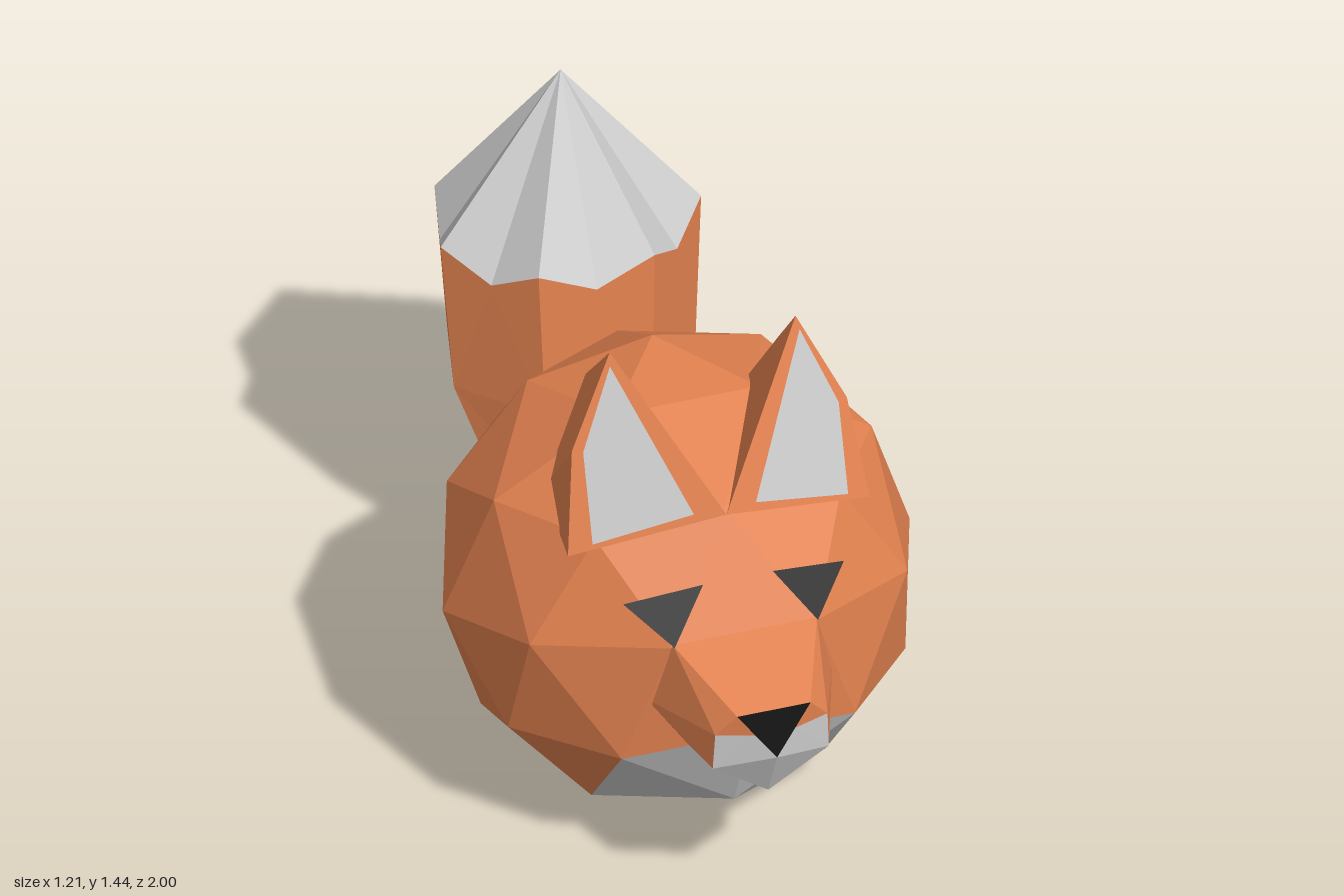
import * as THREE from 'three';
import { ConvexGeometry } from 'three/addons/geometries/ConvexGeometry.js';

const ORANGE = 0xe38250, GREY = 0xcccccc, BLACK = 0x111111;
const V = (x, y, z) => new THREE.Vector3(x, y, z);
const mirror = (p) => V(-p.x, p.y, p.z);

function makeMesh(name, color, geometry) {
  const material = new THREE.MeshStandardMaterial({ color, flatShading: true, side: THREE.DoubleSide });
  const mesh = new THREE.Mesh(geometry, material);
  mesh.name = name;
  return mesh;
}

// Faceted mesh from polygons, every facet turned away from the given centre
function facets(name, color, polygons, centre) {
  const points = [];
  for (const poly of polygons) {
    for (let i = 1; i < poly.length - 1; i++) {
      const [a, b, c] = [poly[0], poly[i], poly[i + 1]];
      const n = b.clone().sub(a).cross(c.clone().sub(a));
      const out = a.clone().add(b).add(c).divideScalar(3).sub(centre);
      points.push(...(n.dot(out) < 0 ? [a, c, b] : [a, b, c]));
    }
  }
  const geometry = new THREE.BufferGeometry().setFromPoints(points);
  geometry.computeVertexNormals();
  return makeMesh(name, color, geometry);
}

// Round body: tilted icosphere, its underside facets pale
function makeBody() {
  const group = new THREE.Group();
  group.name = 'body';
  const centre = V(0, 0.575, 0.2);
  const pos = new THREE.IcosahedronGeometry(0.603, 1).rotateX(40 * Math.PI / 180).attributes.position;
  const coat = [], belly = [];
  for (let i = 0; i < pos.count; i += 3) {
    const tri = [0, 1, 2].map((k) => V(0, 0, 0).fromBufferAttribute(pos, i + k));
    const mid = tri[0].clone().add(tri[1]).add(tri[2]).divideScalar(3);
    const isBelly = Math.abs(mid.x) < 0.22 && Math.atan2(Math.abs(mid.z), -mid.y) < 1.27;
    tri.forEach((p) => p.add(centre));
    (isBelly ? belly : coat).push(tri);
  }
  group.add(facets('coat', ORANGE, coat, centre), facets('belly', GREY, belly, centre));
  return group;
}

// Wedge snout lofted from the face to a smaller front
function makeSnout() {
  const group = new THREE.Group();
  group.name = 'snout';
  const back = [V(0.186, 0.765, 0.745), V(0.24, 0.58, 0.7), V(0.15, 0.455, 0.74), V(0, 0.34, 0.74)];
  const front = [V(0.095, 0.69, 0.975), V(0.145, 0.63, 0.955), V(0.15, 0.525, 0.95), V(0, 0.41, 0.93)];
  const tip = V(0, 0.56, 1);
  const centre = V(0, 0.55, 0.8);
  const fur = [[back[0], front[0], mirror(front[0]), mirror(back[0])]];
  const muzzle = [], chin = [];
  for (const m of [(p) => p, mirror]) {
    const b = back.map(m), f = front.map(m);
    const nose = f[0].clone().lerp(tip, 0.46);
    fur.push([b[0], f[0], f[1], b[1]], [b[1], f[1], f[2], b[2]], [f[0], f[1], nose]);
    muzzle.push([nose, f[1], f[2], tip], [tip, f[2], f[3]]);
    chin.push([b[2], f[2], f[3], b[3]]);
  }
  group.add(
    facets('snoutFur', ORANGE, fur, centre),
    facets('muzzle', GREY, muzzle, centre),
    facets('chin', GREY, chin, centre),
    facets('nose', BLACK, [[front[0], mirror(front[0]), tip]], centre),
  );
  return group;
}

// Slanted triangular eye
function makeEye(m, name) {
  const corners = [V(0.09, 0.89, 0.69), V(0.285, 0.85, 0.655), V(0.185, 0.765, 0.757)];
  return facets(name, BLACK, [corners.map(m)], V(0, 0.575, 0.2));
}

// Pointed ear with a pale inner panel
function makeEar(m, name) {
  const group = new THREE.Group();
  group.name = name;
  const shell = [
    V(0, 1.02, 0.6), V(0.39, 0.94, 0.54), V(0.24, 1.44, 0.41), V(0.355, 1.2, 0.463),
    V(0.25, 1.26, 0.25), V(0.18, 1.11, 0.2), V(0.36, 0.93, 0.25),
  ];
  const panel = [V(0.08, 1.03, 0.587), V(0.33, 0.97, 0.551), V(0.33, 1.2, 0.476), V(0.245, 1.41, 0.427)];
  group.add(
    makeMesh('earShell', ORANGE, new ConvexGeometry(shell.map(m))),
    facets('innerEar', GREY, [panel.map(m)], m(V(0.2, 1.05, 0.3))),
  );
  return group;
}

// Seven-sided upright tail with a zigzag pale tip
function makeTail() {
  const group = new THREE.Group();
  group.name = 'tail';
  const sides = 7;
  const ring = (cz, rx, rz, height) => Array.from({ length: sides }, (_, i) => {
    const a = i / sides * Math.PI * 2;
    const z = cz - rz * Math.cos(a);
    return V(rx * Math.sin(a), height(z), z);
  });
  const root = V(0, 0.12, -0.19), tip = V(0, 1.44, -0.715);
  const low = ring(-0.54, 0.21, 0.18, (z) => 0.21 + (z + 0.72) * 0.353);
  const middle = ring(-0.667, 0.32, 0.285, (z) => 0.6 + (z + 0.95) * 0.04);
  const high = ring(-0.7, 0.345, 0.3, (z) => 1.015 + (z + 1) * 0.04);
  const fur = [], pale = [];
  for (let i = 0; i < sides; i++) {
    const j = (i + 1) % sides;
    // Low point of the zigzag, lying on the facet
    const dip = high[i].clone().lerp(high[j], 0.5)
      .lerp(middle[i].clone().lerp(middle[j], 0.5), 0.165);
    fur.push([root, low[i], low[j]], [low[i], middle[i], middle[j], low[j]]);
    fur.push([dip, high[i], middle[i], middle[j], high[j]]);
    pale.push([tip, high[i], dip], [tip, dip, high[j]]);
  }
  const centre = V(0, 0.6, -0.62);
  group.add(facets('tailFur', ORANGE, fur, centre), facets('tailTip', GREY, pale, centre));
  return group;
}

export function createModel() {
  const model = new THREE.Group();
  model.name = 'fox';
  model.add(makeBody(), makeSnout(), makeTail());
  for (const [m, side] of [[(p) => p.clone(), 'left'], [mirror, 'right']]) {
    model.add(makeEye(m, side + 'Eye'), makeEar(m, side + 'Ear'));
  }
  return model;
}
